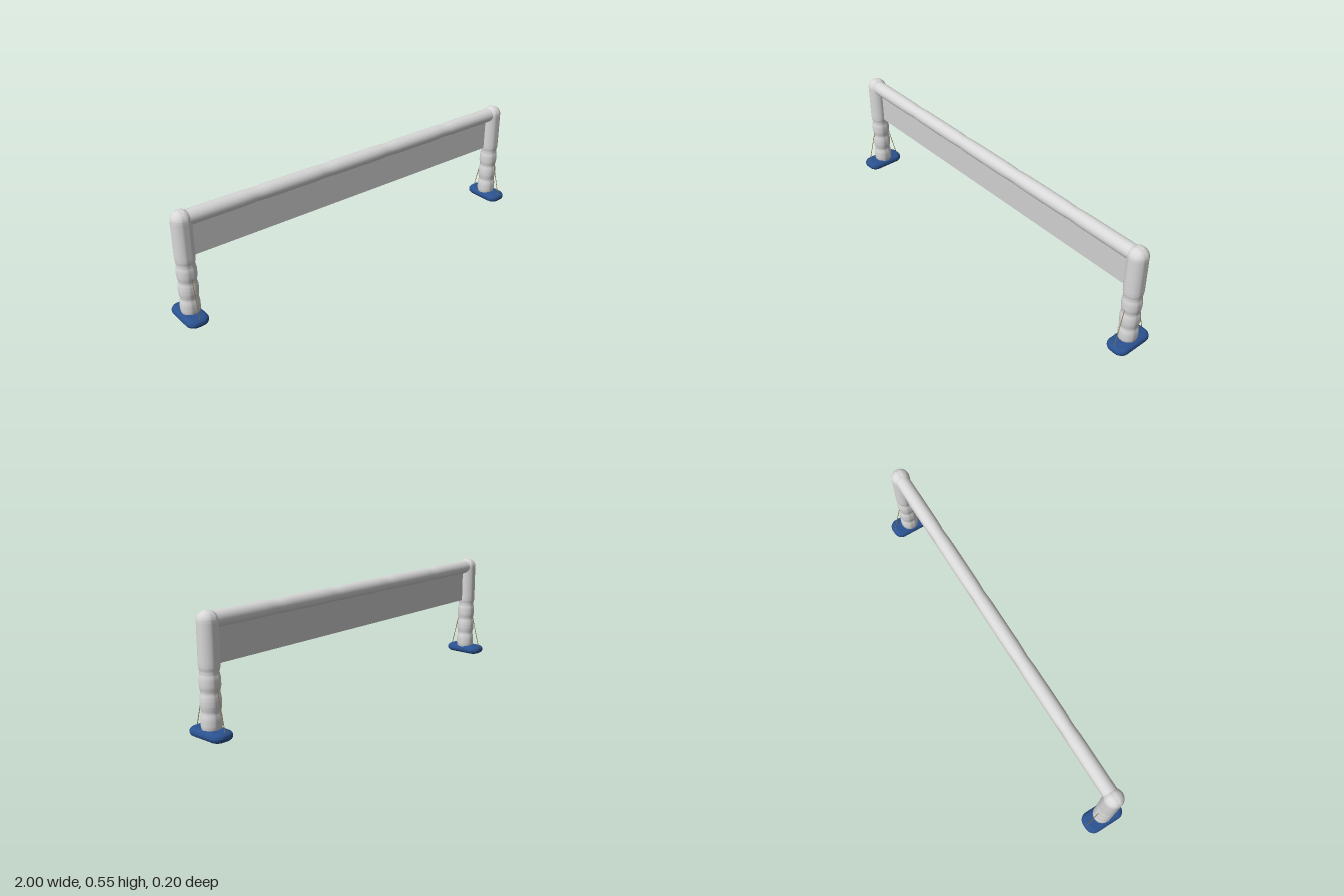
import * as THREE from 'three';
import { mergeVertices, toCreasedNormals } from 'three/addons/utils/BufferGeometryUtils.js';

const mat = (name, color) => {
  const m = new THREE.MeshStandardMaterial({ color });
  m.name = name;
  return m;
};

const POST_X = 0.94, FOOT_X = 0.945, POST_R = 0.046;

// Radius along a tube, pinched softly at each listed position
const pinched = (t, r, necks, depth, width) =>
  r - necks.reduce((s, n) => s + depth * Math.exp(-(((t - n) / width) ** 2)), 0);

// Upright tube with three pinched waists and a domed top
function postGeometry() {
  const pts = [new THREE.Vector2(0, 0.03)];
  for (let i = 0; i <= 60; i++) {
    const y = 0.03 + (0.47 * i) / 60;
    pts.push(new THREE.Vector2(pinched(y, POST_R, [0.03, 0.115, 0.2, 0.285], 0.005, 0.016), y));
  }
  for (let i = 1; i <= 12; i++) {
    const a = (i / 12) * Math.PI / 2;
    pts.push(new THREE.Vector2(Math.max(0, POST_R * Math.cos(a)), 0.5 + 0.045 * Math.sin(a)));
  }
  return toCreasedNormals(new THREE.LatheGeometry(pts, 32), 0.8);
}

// Crossbar tube with faint pinches along its length
function barGeometry() {
  const pts = [];
  for (let i = 0; i <= 120; i++) {
    const t = -0.92 + (1.84 * i) / 120;
    pts.push(new THREE.Vector2(pinched(t, 0.036, [-0.57, -0.19, 0.19, 0.57], 0.003, 0.04), t));
  }
  return new THREE.LatheGeometry(pts, 28).rotateZ(-Math.PI / 2);
}

// Cushion-edged base pad
function footGeometry() {
  const w = 0.03, l = 0.077, r = 0.018;
  const s = new THREE.Shape();
  s.moveTo(-w + r, -l);
  s.lineTo(w - r, -l);
  s.absarc(w - r, -l + r, r, -Math.PI / 2, 0);
  s.lineTo(w, l - r);
  s.absarc(w - r, l - r, r, 0, Math.PI / 2);
  s.lineTo(-w + r, l);
  s.absarc(-w + r, l - r, r, Math.PI / 2, Math.PI);
  s.lineTo(-w, -l + r);
  s.absarc(-w + r, -l + r, r, Math.PI, Math.PI * 1.5);
  const g = new THREE.ExtrudeGeometry(s, {
    depth: 0.002, bevelThickness: 0.02, bevelSize: 0.025, bevelSegments: 8, curveSegments: 8,
  });
  g.rotateX(-Math.PI / 2).translate(0, 0.02, 0);
  g.deleteAttribute('normal');
  g.deleteAttribute('uv');
  return toCreasedNormals(mergeVertices(g, 1e-5), 0.7);
}

export function createModel() {
  const model = new THREE.Group();
  model.name = 'inflatableBarrier';
  const tube = mat('light grey fabric', 0xd8d8d8);
  const panel = mat('grey panel', 0xd0d0d0);
  const blue = mat('blue base', 0x2b5290);
  const cord = mat('tan cord', 0x8f7843);

  const add = (name, geo, material, x = 0, y = 0, z = 0) => {
    const m = new THREE.Mesh(geo, material);
    m.name = name;
    m.position.set(x, y, z);
    model.add(m);
    return m;
  };

  // Crossbar and the hanging panel below it
  add('crossbar', barGeometry(), tube, 0, 0.5, 0);
  add('hangingPanel', new THREE.BoxGeometry(1.82, 0.18, 0.003), panel, 0, 0.4, 0);

  // Posts, feet and tie cords on both sides
  const post = postGeometry(), foot = footGeometry();
  for (const [side, s] of [['left', 1], ['right', -1]]) {
    add(side + 'Post', post, tube, s * POST_X, 0, 0);
    add(side + 'Foot', foot, blue, s * FOOT_X, 0, 0);
    for (const [end, d] of [['Front', 1], ['Back', -1]]) {
      const path = new THREE.LineCurve3(
        new THREE.Vector3(s * POST_X, 0.225, d * 0.043),
        new THREE.Vector3(s * FOOT_X, 0.032, d * 0.092));
      add(side + end + 'Cord', new THREE.TubeGeometry(path, 1, 0.0016, 6), cord);
    }
  }
  return model;
}
